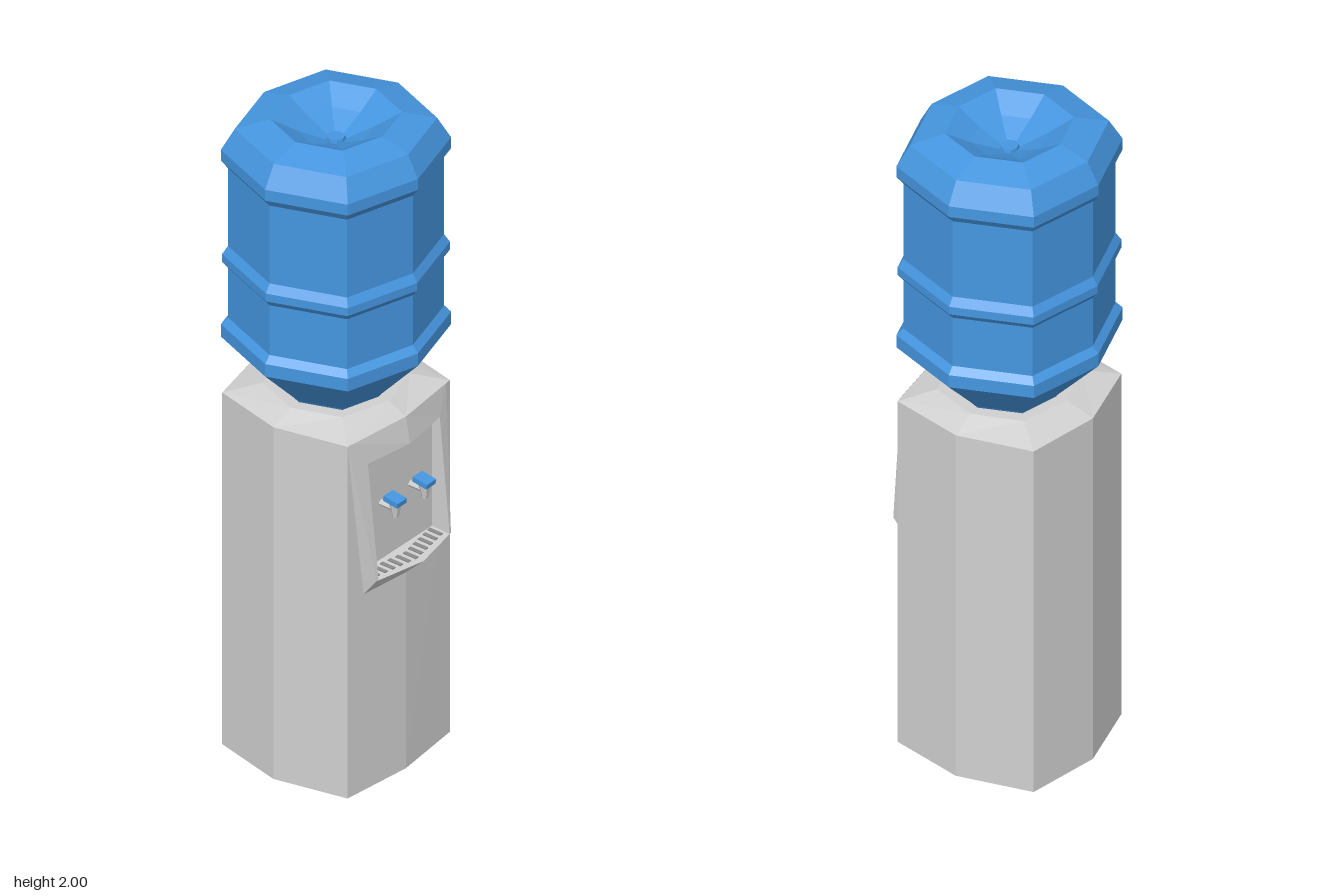
import * as THREE from 'three';

const mat = (name, color) => new THREE.MeshStandardMaterial({ name, color, flatShading: true, side: THREE.DoubleSide });

// Flat polygons (corners counter-clockwise), each split as a fan
function polyGeometry(polys) {
  const pos = [];
  for (const p of polys)
    for (let i = 1; i < p.length - 1; i++) pos.push(...p[0], ...p[i], ...p[i + 1]);
  const g = new THREE.BufferGeometry();
  g.setAttribute('position', new THREE.Float32BufferAttribute(pos, 3));
  g.computeVertexNormals();
  return g;
}

// Faces joining a stack of equal-sized rings, bottom to top; skip drops sides of the first band
function loft(rings, skip = []) {
  const polys = [];
  for (let k = 0; k < rings.length - 1; k++) {
    const a = rings[k], b = rings[k + 1], n = a.length;
    for (let i = 0; i < n; i++) {
      if (k === 0 && skip.includes(i)) continue;
      const j = (i + 1) % n;
      polys.push([a[i], a[j], b[j], b[i]]);
    }
  }
  polys.push([...rings[0]].reverse(), rings[rings.length - 1]);
  return polys;
}

// Eight-sided ring starting at +x and turning towards -z
function octagon(y, xFront, xCorner, zCorner, zSide, xBack) {
  const c = -0.01;
  return [[c + xFront, y, 0], [c + xCorner, y, -zCorner], [c, y, -zSide], [c - xCorner, y, -zCorner],
    [c - xBack, y, 0], [c - xCorner, y, zCorner], [c, y, zSide], [c + xCorner, y, zCorner]];
}

export function createModel() {
  const group = new THREE.Group();
  const blue = mat('bottle blue', 0x4596e0);
  const grey = mat('casing grey', 0xd0d0d0);
  const dark = mat('slot grey', 0x8c8c8c);
  const add = (name, geometry, material, x = 0, y = 0, z = 0) => {
    const m = new THREE.Mesh(geometry, material);
    m.name = name;
    m.position.set(x, y, z);
    group.add(m);
    return m;
  };

  // Water bottle: [radius, height], ending in the dished top
  const profile = [[0.155, 1.15], [0.165, 1.165], [0.305, 1.31], [0.305, 1.35], [0.286, 1.37], [0.286, 1.53],
    [0.302, 1.55], [0.302, 1.575], [0.286, 1.6], [0.286, 1.85], [0.305, 1.875], [0.305, 1.91],
    [0.268, 1.975], [0.175, 2], [0.105, 1.96], [0.027, 1.925], [0.025, 1.935]];
  add('bottle', polyGeometry(loft(profile.map(([r, y]) =>
    octagon(y, r * 0.943, r * 0.73, r * 0.73, r, r * 0.943)))), blue);

  // Cabinet with sloping collar, open at the front where the dispenser sits
  add('cabinet', polyGeometry(loft([
    octagon(0, 0.245, 0.22, 0.22, 0.27, 0.27),
    octagon(1.13, 0.245, 0.22, 0.22, 0.27, 0.27),
    octagon(1.157, 0.185, 0.14, 0.145, 0.195, 0.185),
  ], [0, 7])), grey);

  // Dispenser front, one half mirrored across z
  const A0 = [0.21, 0, 0.22], A = [0.21, 1.13, 0.22], M0 = [0.235, 0, 0], M = [0.235, 0.63, 0];
  const B = [0.217, 0.63, 0.16], C = [0.263, 0.69, 0.16], T = [0.297, 0.69, 0], D = [0.213, 1.13, 0.2];
  const I = [0.264, 0.69, 0.153], H = [0.228, 1.05, 0.155], N = [0.25, 1.05, 0], K = [0.235, 1.13, 0];
  const w = 0.2, W0 = [w, 0.69, 0.155], W1 = [w, 1.05, 0.155], V0 = [w, 0.69, 0], V1 = [w, 1.05, 0];
  const mirror = (polys) => [...polys,
    ...polys.map((p) => p.map(([x, y, z]) => [x, y, -z]).reverse())];
  add('cabinetFront', polyGeometry(mirror([[A0, M0, M, B], [A0, B, A]])), grey);
  add('dispenserFrame', polyGeometry(mirror([[A, B, C, D], [D, C, I, H], [D, H, N, K], [B, M, T, C]])), grey);
  add('dispenserRecess', polyGeometry(mirror([[W0, V0, V1, W1], [I, W0, W1, H], [H, W1, V1, N]])), grey);
  add('dripTray', polyGeometry(mirror([[C, T, V0, W0]])), grey);

  // Drip slots following the bowed edge of the tray
  for (let i = -5; i <= 5; i++) {
    const z = i * 0.027;
    add('dripSlot', new THREE.BoxGeometry(0.045, 0.004, 0.012), dark, 0.252 - Math.abs(z) * 0.18, 0.691, z);
  }

  // Two taps with blue levers
  for (const z of [0.063, -0.063]) {
    const stem = add('tapStem', new THREE.CylinderGeometry(0.01, 0.01, 0.06, 6), grey, 0.225, 0.872, z);
    stem.rotation.z = Math.PI / 2;
    add('tapSpout', new THREE.CylinderGeometry(0.019, 0.009, 0.045, 6), grey, 0.25, 0.868, z);
    const lever = add('tapLever', new THREE.BoxGeometry(0.05, 0.016, 0.04), blue, 0.248, 0.9, z);
    lever.rotation.z = -0.15;
  }
  return group;
}
